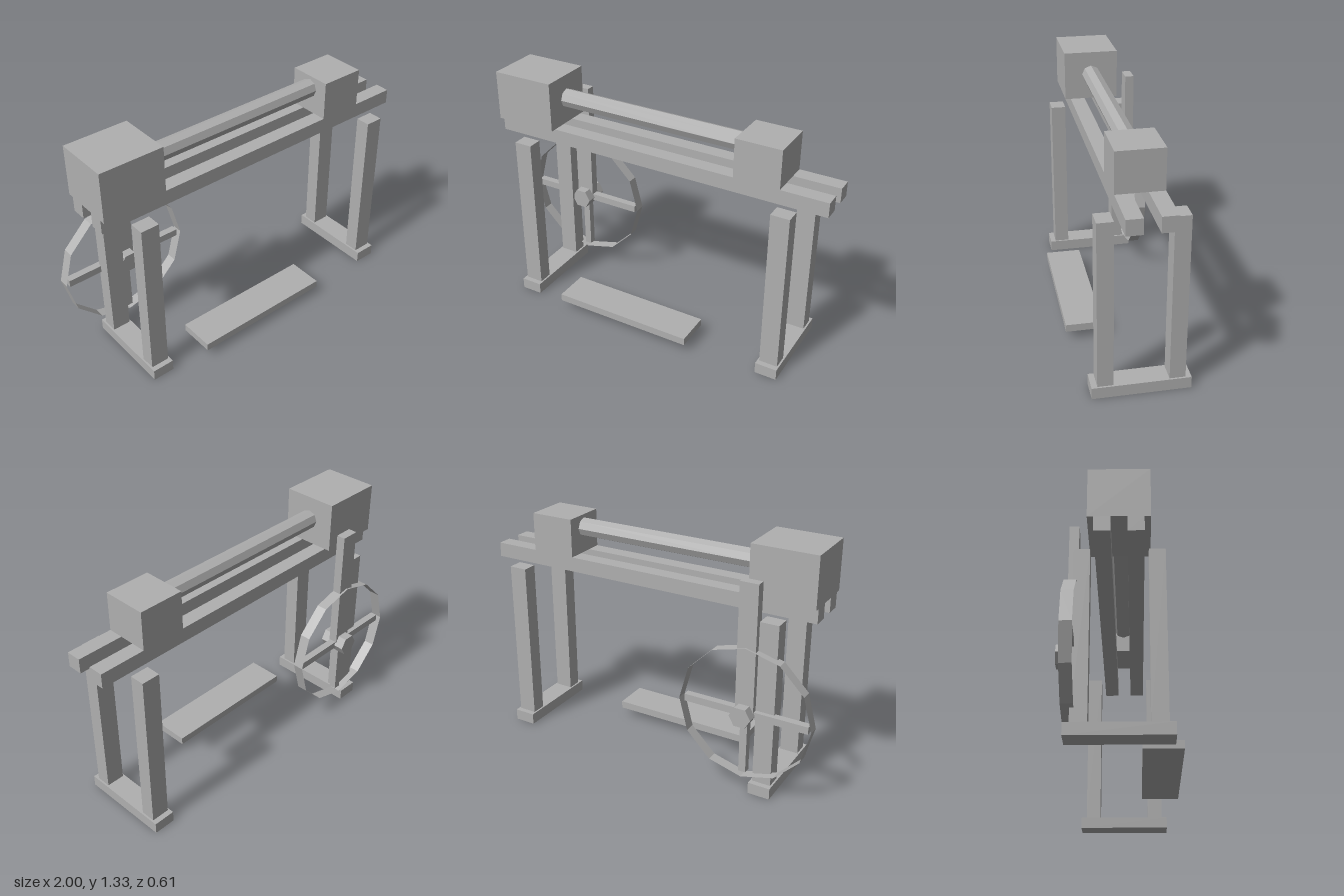
import * as THREE from 'three';

export function createModel() {
  const group = new THREE.Group();
  const grey = new THREE.MeshStandardMaterial({ color: 0xb0b0b0, flatShading: true });
  grey.name = 'plain grey';
  const greyOpen = grey.clone();
  greyOpen.side = THREE.DoubleSide;

  const add = (name, geometry, x, y, z, material = grey) => {
    const mesh = new THREE.Mesh(geometry, material);
    mesh.name = name;
    mesh.position.set(x, y, z);
    group.add(mesh);
    return mesh;
  };
  // Box given by its low and high limits on each axis
  const box = (name, [x0, x1], [y0, y1], [z0, z1]) =>
    add(name, new THREE.BoxGeometry(x1 - x0, y1 - y0, z1 - z0),
      (x0 + x1) / 2, (y0 + y1) / 2, (z0 + z1) / 2);

  // Lathe bed: two parallel rails
  box('frontRail', [-0.94, 0.997], [0.972, 1.053], [0.04, 0.122]);
  box('backRail', [-0.94, 0.997], [0.972, 1.053], [-0.122, -0.04]);

  // Headstock, tailstock and the octagonal workpiece between them
  box('headstock', [-0.94, -0.587], [1.053, 1.328], [-0.153, 0.153]);
  box('tailstock', [0.49, 0.742], [1.053, 1.267], [-0.122, 0.122]);
  add('workpiece', new THREE.CylinderGeometry(0.052, 0.052, 1.077, 8).rotateZ(Math.PI / 2),
    -0.0485, 1.197, 0);

  // Two stands, each a foot with a pair of legs
  for (const [side, x] of [['right', -0.738], ['left', 0.793]]) {
    box(side + 'Foot', [x - 0.061, x + 0.061], [0, 0.063], [-0.254, 0.254]);
    box(side + 'FrontLeg', [x - 0.051, x + 0.051], [0.063, 0.968], [0.142, 0.224]);
    box(side + 'BackLeg', [x - 0.051, x + 0.051], [0.063, 0.968], [-0.224, -0.142]);
  }

  // Treadle board
  box('treadle', [-0.481, 0.331], [0.053, 0.095], [0.104, 0.305]);

  // Flywheel: thin open rim, crossed spokes, hexagonal hub and its post
  const cx = -0.636, cy = 0.461;
  box('wheelPost', [cx - 0.051, cx + 0.051], [cy, 1.17], [-0.254, -0.204]);
  add('wheelRim', new THREE.CylinderGeometry(0.367, 0.367, 0.06, 12, 1, true).rotateX(Math.PI / 2),
    cx, cy, -0.234, greyOpen);
  add('horizontalSpoke', new THREE.BoxGeometry(0.69, 0.04, 0.04), cx, cy, -0.229);
  add('verticalSpoke', new THREE.BoxGeometry(0.04, 0.69, 0.04), cx, cy, -0.229);
  add('wheelHub', new THREE.CylinderGeometry(0.06, 0.06, 0.15, 6).rotateY(Math.PI / 6).rotateX(Math.PI / 2),
    cx, cy, -0.23);

  return group;
}
